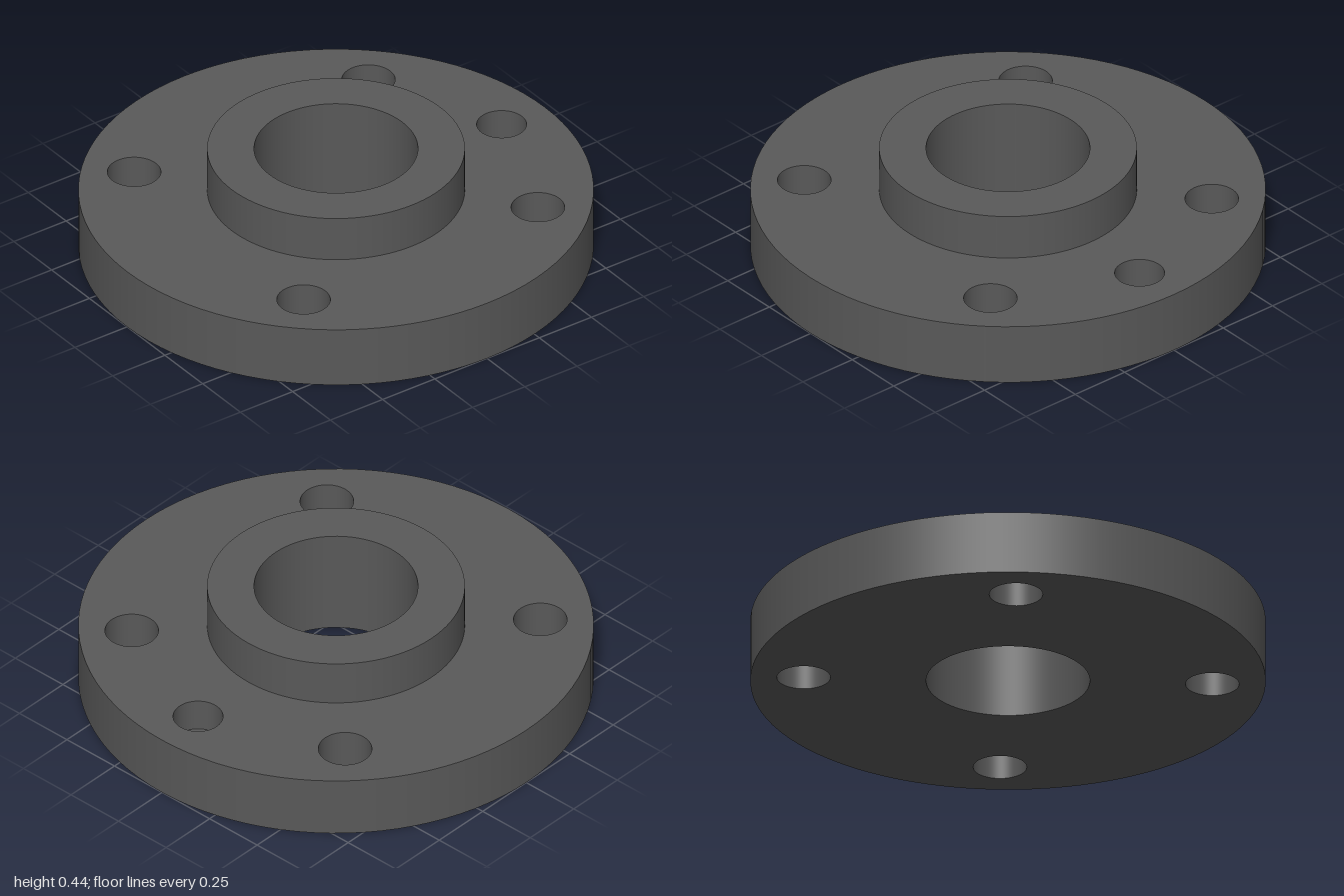
import * as THREE from 'three';
import { mergeGeometries } from 'three/addons/utils/BufferGeometryUtils.js';

const SEG = 96;
const PLATE_R = 1, PLATE_TOP = 0.255;
const HUB_R = 0.5, HUB_TOP = 0.445, BORE_R = 0.318;
const BOLT_R = 0.104, BOLT_POS = 0.561;
const PIN = { x: 0.793, z: 0, r: 0.097 };
const PIN_FLOOR = 0.12;

// Upright round wall; faces outward when y1 > y0, inward when y1 < y0
function wall(r, y0, y1, x = 0, z = 0) {
  const points = [new THREE.Vector2(r, y0), new THREE.Vector2(r, y1)];
  return new THREE.LatheGeometry(points, SEG).translate(x, 0, z);
}

// Flat disc at height y with round holes, facing up or down
function cap(r, y, holes = [], up = true, x = 0, z = 0) {
  const shape = new THREE.Shape();
  shape.absarc(0, 0, r, 0, Math.PI * 2, false);
  const sign = up ? -1 : 1;
  for (const h of holes) {
    const path = new THREE.Path();
    path.absarc(h.x, sign * h.z, h.r, 0, Math.PI * 2, true);
    shape.holes.push(path);
  }
  return new THREE.ShapeGeometry(shape, SEG / 2)
    .rotateX(sign * Math.PI / 2)
    .translate(x, y, z);
}

export function createModel() {
  const group = new THREE.Group();
  const material = new THREE.MeshStandardMaterial({ color: 0x595959 });
  const add = (name, ...geometries) => {
    const mesh = new THREE.Mesh(mergeGeometries(geometries), material);
    mesh.name = name;
    group.add(mesh);
  };

  const bolts = [];
  for (const sx of [-1, 1]) {
    for (const sz of [-1, 1]) bolts.push({ x: sx * BOLT_POS, z: sz * BOLT_POS, r: BOLT_R });
  }
  const bore = { x: 0, z: 0, r: BORE_R };

  // Base flange: rim, underside and the upper face around the hub
  add('flangePlate',
    wall(PLATE_R, 0, PLATE_TOP),
    cap(PLATE_R, 0, [bore, ...bolts], false),
    cap(PLATE_R, PLATE_TOP, [{ x: 0, z: 0, r: HUB_R }, ...bolts, PIN]));

  // Raised hub
  add('hub', wall(HUB_R, PLATE_TOP, HUB_TOP), cap(HUB_R, HUB_TOP, [bore]));

  // Central bore through hub and flange
  add('centralBore', wall(BORE_R, HUB_TOP, 0));

  // Four bolt holes through the flange
  for (const b of bolts) add('boltHole', wall(b.r, PLATE_TOP, 0, b.x, b.z));

  // Blind locating hole on the left side
  add('blindHole',
    wall(PIN.r, PLATE_TOP, PIN_FLOOR, PIN.x, PIN.z),
    cap(PIN.r, PIN_FLOOR, [], true, PIN.x, PIN.z));

  return group;
}
